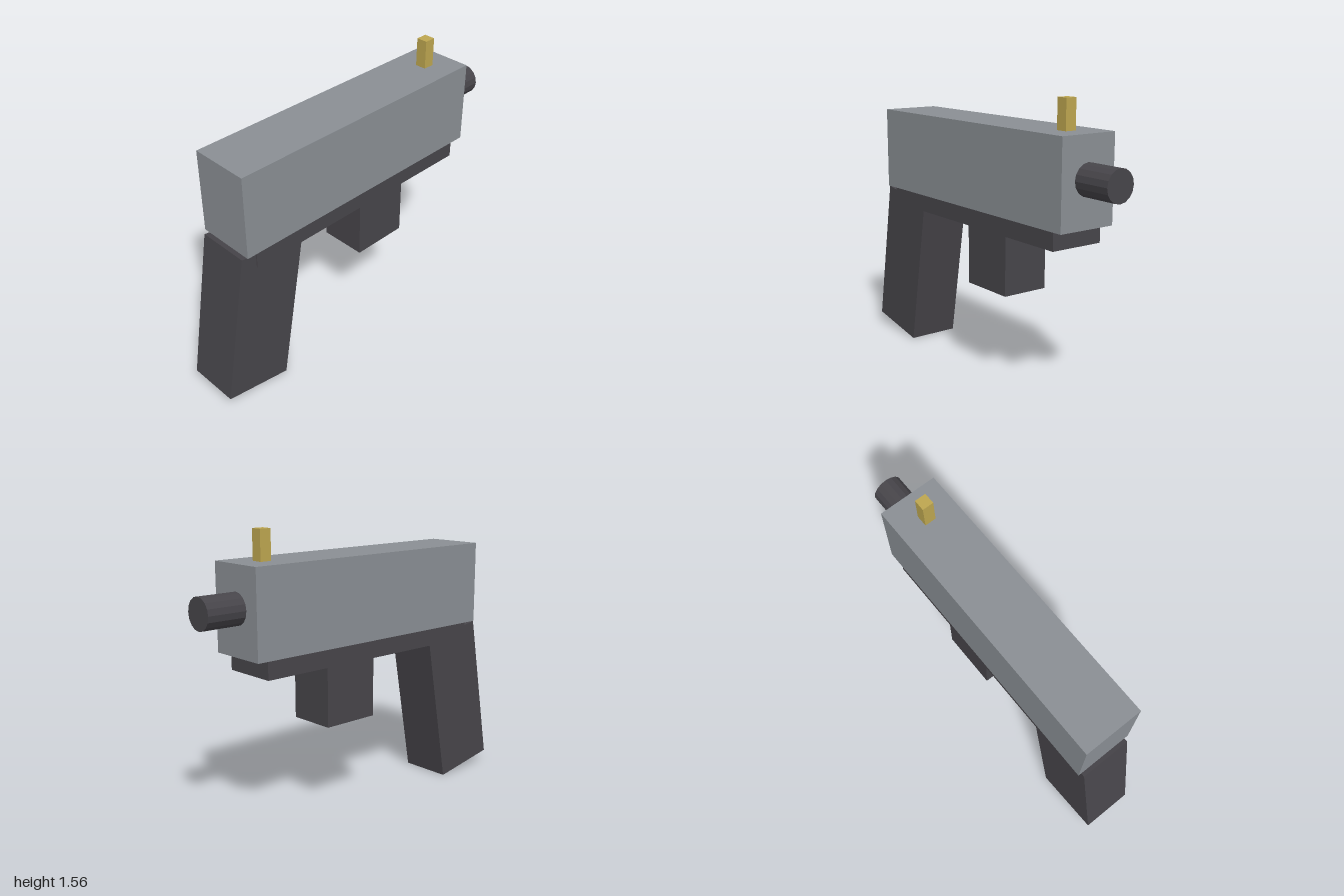
import * as THREE from 'three';

export function createModel() {
  const model = new THREE.Group();
  const mat = (name, color, flatShading = false) => {
    const m = new THREE.MeshStandardMaterial({ color });
    m.name = name;
    m.flatShading = flatShading;
    return m;
  };
  const steel = mat('steelGrey', 0x8a8f94);
  const dark = mat('darkGrey', 0x47454a, true);
  const brass = mat('brass', 0xbda650);

  const add = (name, geometry, material, x, y, z) => {
    const mesh = new THREE.Mesh(geometry, material);
    mesh.name = name;
    mesh.position.set(x, y, z);
    model.add(mesh);
    return mesh;
  };
  // Box given by its width and its y and z extents, centred on x = 0
  const box = (name, material, w, y0, y1, z0, z1) =>
    add(name, new THREE.BoxGeometry(w, y1 - y0, z1 - z0), material, 0, (y0 + y1) / 2, (z0 + z1) / 2);

  // Body, lower rail, block under the rail and sight post
  box('slide', steel, 0.336, 0.935, 1.402, -0.782, 0.828);
  box('lowerFrame', dark, 0.308, 0.835, 0.935, -0.712, 0.762);
  box('triggerBlock', dark, 0.27, 0.502, 0.835, -0.31, 0.022);
  box('sight', brass, 0.064, 1.402, 1.563, -0.65, -0.585);

  // Slanted grip
  const grip = add('grip', new THREE.BoxGeometry(0.295, 0.871, 0.396), dark, 0, 0.464, 0.73);
  grip.rotation.x = -THREE.MathUtils.degToRad(10);

  // Barrel stub at the far end
  const barrel = add('barrel', new THREE.CylinderGeometry(0.085, 0.085, 0.3, 16), dark, 0, 1.182, -0.85);
  barrel.rotation.x = Math.PI / 2;

  return model;
}
